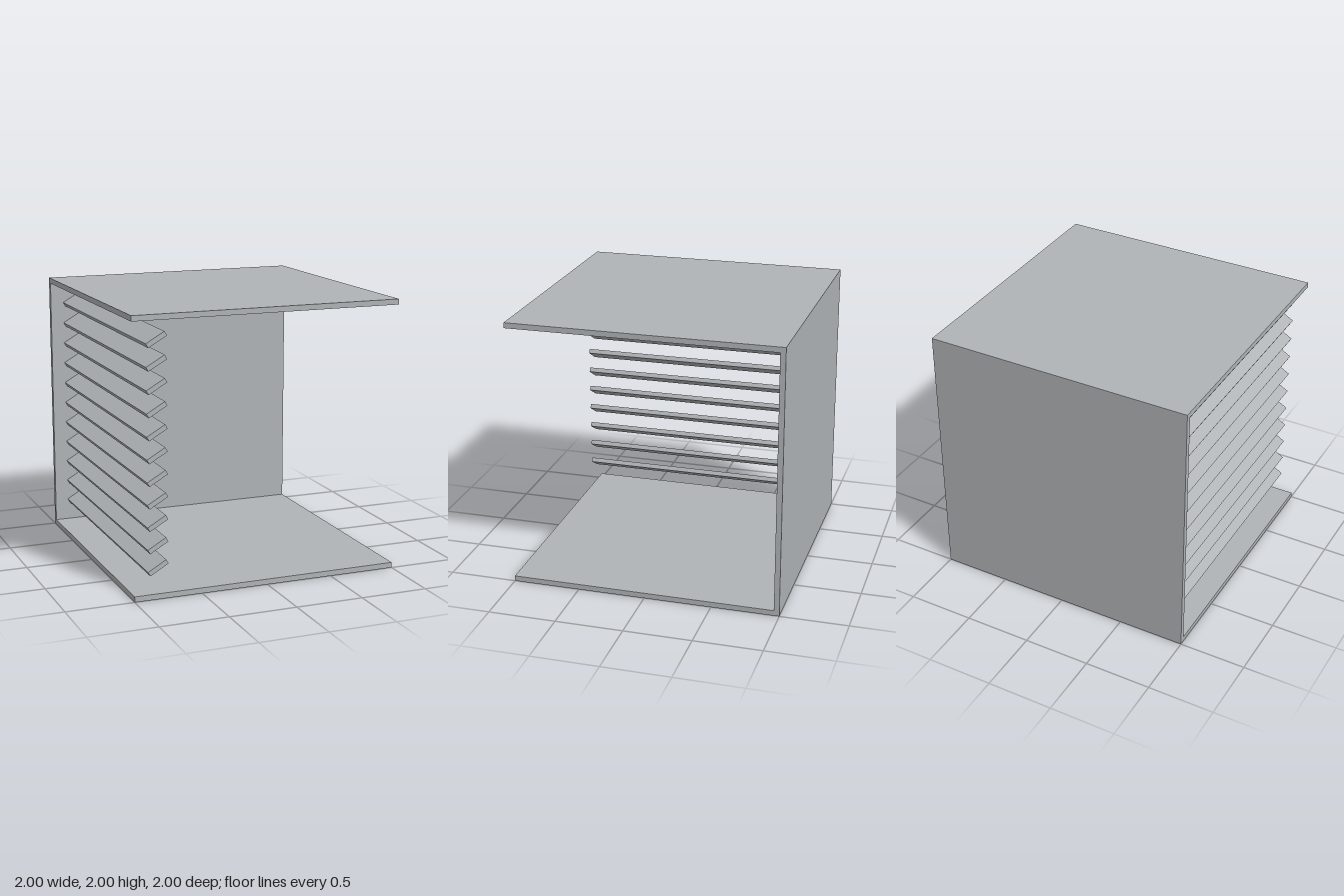
import * as THREE from 'three';

export function createModel() {
  const group = new THREE.Group();
  const grey = new THREE.MeshStandardMaterial({ color: 0xb0b4b7 });
  grey.name = 'light grey';

  const T = 0.04; // panel thickness

  // Floor, back wall and roof: one C-shaped section (z, y) swept across x
  const section = new THREE.Shape([
    [-1, 0], [1, 0], [1, T], [-1 + T, T],
    [-1 + T, 2 - T], [1, 2 - T], [1, 2], [-1, 2],
  ].map(([z, y]) => new THREE.Vector2(z, y)));
  const shellGeometry = new THREE.ExtrudeGeometry(section, { depth: 2, bevelEnabled: false });
  shellGeometry.rotateY(-Math.PI / 2).translate(1, 0, 0);
  const shell = new THREE.Mesh(shellGeometry, grey);
  shell.name = 'shell';
  group.add(shell);

  // Tilted louvre slats on the right side, from the back wall to the front edge
  const louvres = new THREE.Group();
  louvres.name = 'louvres';
  const slatGeometry = new THREE.BoxGeometry(0.155, 0.035, 2 - T);
  for (let i = 0; i < 11; i++) {
    const slat = new THREE.Mesh(slatGeometry, grey);
    slat.name = `slat${i + 1}`;
    slat.position.set(-0.825, 0.228 + i * 0.16, T / 2);
    slat.rotation.z = Math.PI / 6;
    louvres.add(slat);
  }
  group.add(louvres);

  return group;
}
